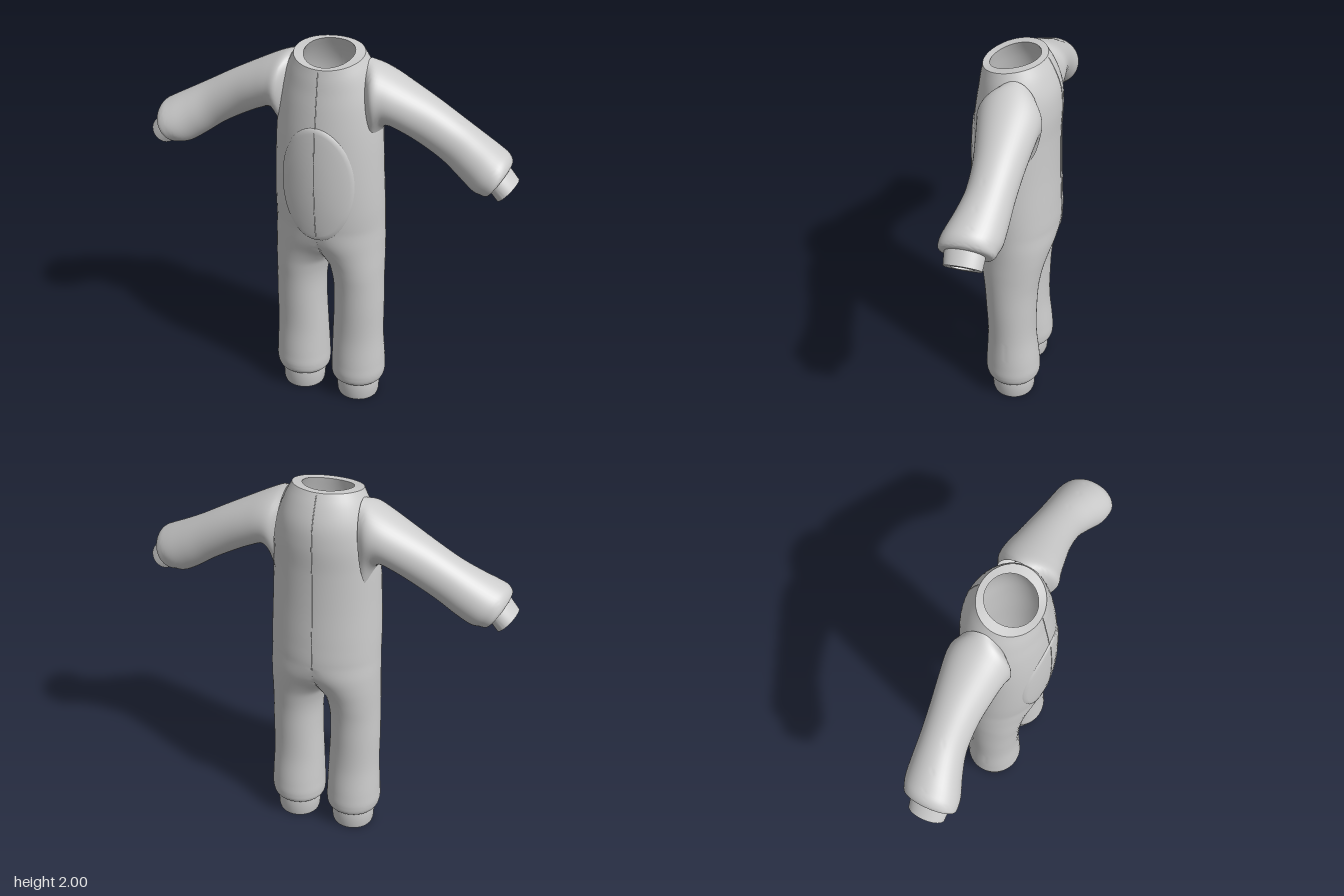
import * as THREE from 'three';
import { toCreasedNormals } from 'three/addons/utils/BufferGeometryUtils.js';

const SIDES = 48;
const material = new THREE.MeshStandardMaterial({ color: 0xcccccc, side: THREE.DoubleSide });

// Smooth function through rows of [t, a, b, c...]
function smoothRows(rows) {
  const width = rows[0].length - 1;
  const curve = new THREE.CubicInterpolant(rows.map(r => r[0]), rows.flatMap(r => r.slice(1)), width);
  return t => Array.from(curve.evaluate(t));
}

// Skin a list of closed rings; faces lying flat on the centre plane are left out
function loft(name, rings, crease = 0.8) {
  const n = rings[0].length, index = [];
  const points = rings.flat();
  const flat = k => Math.abs(points[k].x) < 1e-5;
  const face = (a, b, c) => { if (!(flat(a) && flat(b) && flat(c))) index.push(a, b, c); };
  for (let i = 0; i < rings.length - 1; i++) {
    for (let j = 0; j < n; j++) {
      const k = (j + 1) % n;
      const a = i * n + j, b = a + n, c = (i + 1) * n + k, d = i * n + k;
      face(a, b, c);
      face(a, c, d);
    }
  }
  let geometry = new THREE.BufferGeometry().setFromPoints(points);
  geometry.setIndex(index);
  geometry = toCreasedNormals(geometry, crease);
  // Normals on the centre plane stay in it, so both halves join smoothly
  const p = geometry.attributes.position, q = geometry.attributes.normal, v = new THREE.Vector3();
  for (let i = 0; i < p.count; i++) {
    if (name === 'bellyPatch' || Math.abs(p.getX(i)) > 1e-5) continue;
    v.fromBufferAttribute(q, i).setX(0).normalize();
    q.setXYZ(i, v.x, v.y, v.z);
  }
  const mesh = new THREE.Mesh(geometry, material);
  mesh.name = name;
  return mesh;
}

const mirror = rings => rings.map(r => r.map(p => new THREE.Vector3(-p.x, p.y, p.z)).reverse());
const ring = fn => Array.from({ length: SIDES }, (_, j) => {
  const t = j / SIDES * Math.PI * 2;
  return fn(Math.cos(t), Math.sin(t));
});

// Half body by height: y, outer x, centre x, inner radius, front z, back z
const body = smoothRows([
  [0.10, 0.275, 0.155, 0.12, 0.10, -0.13],
  [0.115, 0.29, 0.155, 0.135, 0.12, -0.148],
  [0.15, 0.302, 0.156, 0.143, 0.132, -0.157],
  [0.22, 0.302, 0.157, 0.143, 0.131, -0.154],
  [0.40, 0.293, 0.157, 0.137, 0.122, -0.136],
  [0.60, 0.293, 0.158, 0.13, 0.13, -0.138],
  [0.72, 0.291, 0.155, 0.13, 0.138, -0.145],
  [0.80, 0.29, 0.15, 0.14, 0.147, -0.157],
  [0.85, 0.29, 0.14, 0.15, 0.153, -0.167],
  [0.92, 0.289, 0.11, 0.20, 0.166, -0.187],
  [1.00, 0.288, 0.05, 0.30, 0.19, -0.213],
  [1.08, 0.286, 0, 0.30, 0.207, -0.224],
  [1.20, 0.285, 0, 0.30, 0.22, -0.222],
  [1.40, 0.278, 0, 0.30, 0.225, -0.214],
  [1.60, 0.269, 0, 0.30, 0.216, -0.212],
  [1.75, 0.255, 0, 0.30, 0.20, -0.216],
  [1.85, 0.235, 0, 0.30, 0.188, -0.205],
  [1.94, 0.205, 0, 0.30, 0.178, -0.172],
  [2.00, 0.175, 0, 0.30, 0.168, -0.14],
]);

function bodyRing(y, inset) {
  let [X, cx, inner, front, back] = body(y);
  cx = y >= 1.08 ? 0 : Math.max(0, cx);
  const zc = (front + back) / 2, rz = (front - back) / 2 - inset * 0.65;
  // The neckline dips towards the front
  const dip = 0.055 * THREE.MathUtils.smoothstep(y, 1.7, 2);
  return ring((c, s) => new THREE.Vector3(
    Math.max(0, cx + c * ((c > 0 ? X - cx : inner) - inset)),
    y - dip * ((s + 1) / 2) ** 1.5,
    zc + rz * s));
}

// Front surface of the body, for the patch and the seam
function frontZ(x, y, lift = 0) {
  const [X, cx, , front, back] = body(y);
  const u = Math.min(1, (Math.abs(x) - cx) / (X - cx));
  return (front + back) / 2 + (front - back) / 2 * Math.sqrt(1 - u * u) + lift;
}

// Arm section by its top point, bottom point and z range
const armRing = ([tx, ty, bx, by, front, back]) => ring((c, s) => new THREE.Vector3(
  (tx + bx) / 2 + c * (tx - bx) / 2,
  (ty + by) / 2 + c * (ty - by) / 2,
  (front + back) / 2 - s * (front - back) / 2));

const armRows = [
  [0.19, 1.955, 0.235, 1.50, 0.10, -0.16],
  [0.235, 1.942, 0.262, 1.60, 0.135, -0.175],
  [0.30, 1.912, 0.30, 1.64, 0.125, -0.174],
  [0.40, 1.86, 0.37, 1.617, 0.108, -0.164],
  [0.53, 1.79, 0.47, 1.565, 0.09, -0.15],
  [0.66, 1.715, 0.58, 1.50, 0.09, -0.14],
  [0.76, 1.66, 0.67, 1.435, 0.115, -0.137],
  [0.85, 1.612, 0.74, 1.39, 0.145, -0.132],
  [0.897, 1.583, 0.78, 1.382, 0.153, -0.12],
  [0.917, 1.545, 0.815, 1.382, 0.148, -0.105],
  [0.905, 1.51, 0.837, 1.415, 0.11, -0.06],
];
const arm = smoothRows(armRows.map((r, i) => [i, ...r]));

// Wrist cuff, its hole and the sleeve lining
const armCuffRows = [
  [0.90, 1.53, 0.81, 1.43, 0.115, -0.065],
  [0.918, 1.508, 0.828, 1.41, 0.12, -0.07],
  [0.957, 1.462, 0.866, 1.362, 0.115, -0.065],
  [0.935, 1.438, 0.888, 1.386, 0.08, -0.03],
  [0.87, 1.52, 0.81, 1.44, 0.08, -0.03],
  [0.60, 1.69, 0.55, 1.57, 0.03, -0.08],
  [0.23, 1.88, 0.23, 1.72, 0.04, -0.09],
];

// Ankle cuff and its hole: y, centre x, x radius, front z, back z
const ankleRows = [
  [0.14, 0.157, 0.08, 0.07, -0.10],
  [0.015, 0.157, 0.078, 0.065, -0.095],
  [0, 0.157, 0.085, 0.075, -0.105],
  [0, 0.157, 0.108, 0.092, -0.122],
  [0.015, 0.157, 0.112, 0.097, -0.127],
  [0.085, 0.156, 0.117, 0.10, -0.131],
  [0.13, 0.156, 0.112, 0.097, -0.128],
];

export function createModel() {
  const group = new THREE.Group();
  group.name = 'suit';

  // Outer shell from ankle to neck, over the rim, and the lining back down
  const shell = [], outerSteps = 110, innerSteps = 60;
  for (let i = 0; i <= 8; i++) shell.push(bodyRing(0.1 + 0.06 * i / 8, 0));
  for (let i = 1; i <= outerSteps; i++) shell.push(bodyRing(0.16 + 1.84 * i / outerSteps, 0));
  for (let i = 0; i <= innerSteps; i++) shell.push(bodyRing(2 - 1.87 * i / innerSteps, 0.05));

  const sleeve = [];
  for (let i = 0; i <= (armRows.length - 1) * 5; i++) sleeve.push(armRing(arm(i / 5)));
  const wrist = armCuffRows.map(armRing);
  const ankle = ankleRows.map(([y, cx, rx, front, back]) => ring((c, s) => new THREE.Vector3(
    cx + rx * c, y, (front + back) / 2 + s * (front - back) / 2)));

  for (const [side, turn] of [['left', r => r], ['right', mirror]]) {
    group.add(
      loft(side + 'Body', turn(shell)),
      loft(side + 'Arm', turn(sleeve), 1.2),
      loft(side + 'WristCuff', turn(wrist)),
      loft(side + 'AnkleCuff', turn(ankle)));
  }

  // Oval belly patch, slightly proud of the body, with its rim sunk in
  const patch = [];
  for (const [r, lift] of [[0.001, 0.006], [0.25, 0.006], [0.5, 0.006], [0.75, 0.006], [0.9, 0.006], [0.98, 0.005], [1, -0.004]]) {
    patch.push(ring((c, s) => {
      const x = 0.19 * r * c, y = 1.35 + 0.315 * r * s;
      return new THREE.Vector3(x, y, frontZ(x, y, lift));
    }));
  }
  group.add(loft('bellyPatch', patch, 1));

  // Thin seams down the middle of front and back
  const seam = (name, y0, y1, zAt) => {
    const path = Array.from({ length: 30 }, (_, i) => {
      const y = y0 + (y1 - y0) * i / 29;
      const dip = name === 'frontSeam' ? 0.055 * THREE.MathUtils.smoothstep(y, 1.7, 2) : 0;
      return new THREE.Vector3(0, y - dip, zAt(y));
    });
    const mesh = new THREE.Mesh(new THREE.TubeGeometry(new THREE.CatmullRomCurve3(path), 90, 0.003, 6), material);
    mesh.name = name;
    group.add(mesh);
  };
  seam('frontSeam', 1.06, 1.99, y => frontZ(0, y, Math.abs(y - 1.35) < 0.31 ? 0.005 : -0.001));
  seam('backSeam', 1.06, 1.99, y => body(y)[4] + 0.001);

  return group;
}
